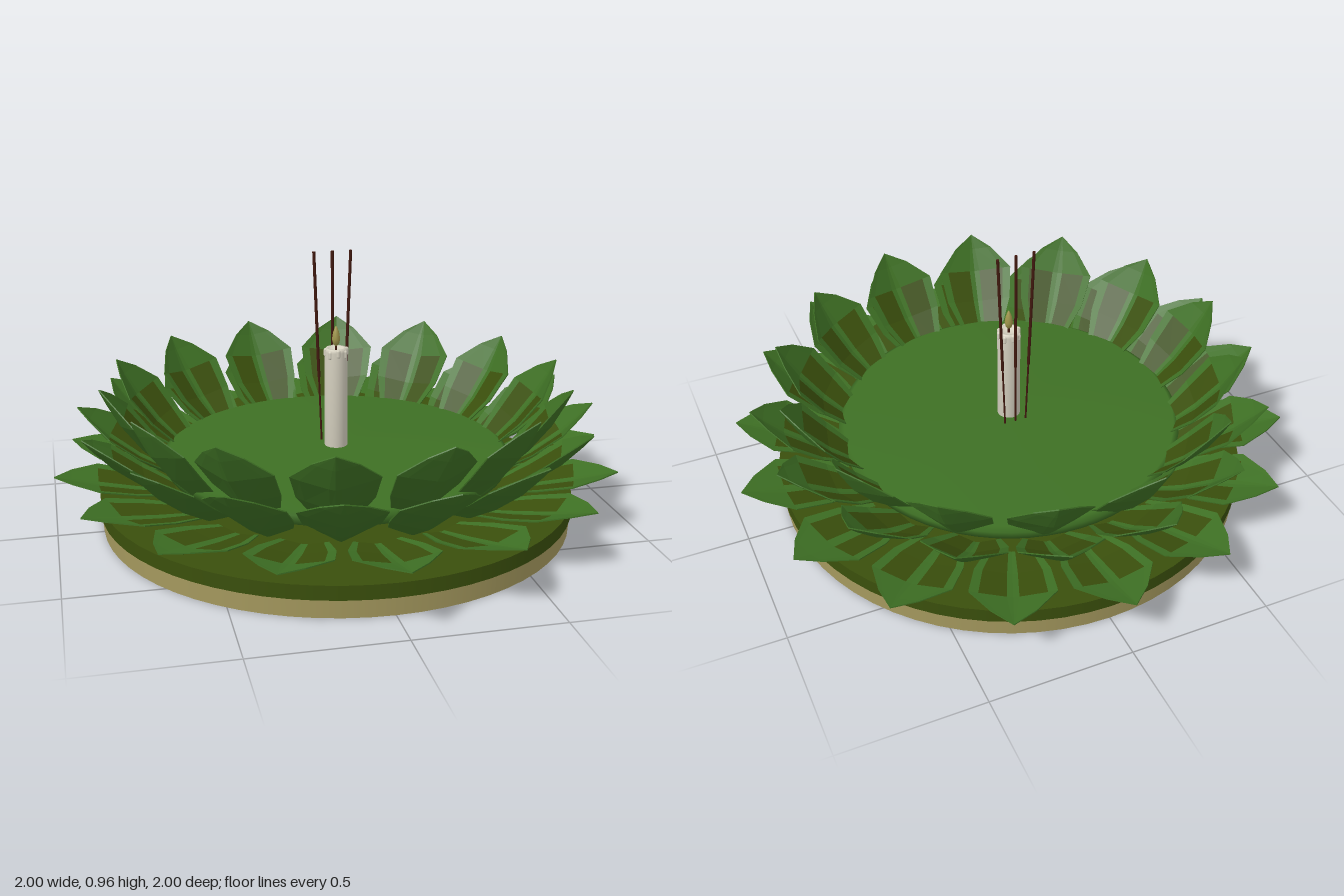
import * as THREE from 'three';

const mat = (name, color, extra = {}) => {
  const m = new THREE.MeshStandardMaterial({ color, ...extra });
  m.name = name;
  return m;
};

export function createModel() {
  const leaf = mat('leaf green', 0x3e7024);
  const petalGreen = mat('petal green', 0x3e7024, { flatShading: true });
  const olive = mat('olive', 0x3a4f0c);
  const petalOlive = mat('petal olive', 0x3a4f0c, { flatShading: true });
  const tan = mat('trunk tan', 0xa89c60);
  const wax = mat('candle wax', 0xd6d1c0);
  const flameMat = mat('flame', 0xa0964c);
  const stickMat = mat('incense brown', 0x41180e);

  const root = new THREE.Group();
  root.name = 'floatingLotus';
  const add = (name, geometry, material, x = 0, y = 0, z = 0, parent = root) => {
    const m = new THREE.Mesh(geometry, material);
    m.name = name;
    m.position.set(x, y, z);
    parent.add(m);
    return m;
  };
  const lathe = (pts, seg = 64) =>
    new THREE.LatheGeometry(pts.map(([r, y]) => new THREE.Vector2(r, y)), seg);

  // Round base, wrapped rim and raised floor
  add('base', new THREE.CylinderGeometry(0.843, 0.838, 0.064, 64), tan, 0, 0.032);
  add('rim', new THREE.CylinderGeometry(0.846, 0.846, 0.05, 64), olive, 0, 0.088);
  add('floor', lathe([[0, 0.15], [0.5, 0.17], [0.61, 0.205], [0.62, 0.24], [0.6, 0.252], [0, 0.262]]), leaf);

  // Folded leaf petal: cupped front with two olive panels, convex back
  const rows = [[0, 0.08], [0.3, 0.125], [0.62, 0.142], [0.85, 0.072], [1, 0]];
  const cols = [-1, -0.78, -0.14, 0, 0.14, 0.78, 1];
  function petalGeometry({ base, tip, sag, cup }) {
    const dr = tip[0] - base[0], dy = tip[1] - base[1], len = Math.hypot(dr, dy);
    const ny = dr / len, nz = -dy / len;
    const point = (i, j, back) => {
      const [t, w] = rows[i], u = cols[j], a = Math.abs(u);
      const off = cup * (w / 0.142) * Math.pow(a, 1.3) - sag * Math.sin(Math.PI * t)
        - (back ? 0.018 * (1 - a) * (1 - t) + 0.004 : 0);
      return [u * w, base[1] + dy * t + ny * off, base[0] + dr * t + nz * off];
    };
    const green = [], panel = [];
    const quad = (list, a, b, c, d) => list.push(...a, ...b, ...c, ...a, ...c, ...d);
    for (let i = 0; i < rows.length - 1; i++) {
      for (let j = 0; j < cols.length - 1; j++) {
        const isPanel = i < 2 && (j === 1 || j === 4);
        quad(isPanel ? panel : green,
          point(i, j), point(i + 1, j), point(i + 1, j + 1), point(i, j + 1));
        quad(green, point(i, j, true), point(i, j + 1, true),
          point(i + 1, j + 1, true), point(i + 1, j, true));
      }
      // side edges
      const e = cols.length - 1;
      quad(green, point(i, 0), point(i, 0, true), point(i + 1, 0, true), point(i + 1, 0));
      quad(green, point(i, e), point(i + 1, e), point(i + 1, e, true), point(i, e, true));
    }
    const g = new THREE.BufferGeometry();
    g.setAttribute('position', new THREE.Float32BufferAttribute([...green, ...panel], 3));
    g.addGroup(0, green.length / 3, 0);
    g.addGroup(green.length / 3, panel.length / 3, 1);
    g.computeVertexNormals();
    return g;
  }

  // Three rings of petals, each steeper than the one below
  const rings = [
    { name: 'lowerPetals', count: 16, offset: 0, base: [0.6, 0.135], tip: [1.0, 0.22], sag: 0.008, cup: 0.025 },
    { name: 'middlePetals', count: 16, offset: 0.5, base: [0.6, 0.17], tip: [0.92, 0.41], sag: 0.025, cup: 0.04 },
    { name: 'upperPetals', count: 14, offset: 0.5, base: [0.59, 0.225], tip: [0.83, 0.525], sag: 0.025, cup: 0.04 },
  ];
  for (const ring of rings) {
    const group = new THREE.Group();
    group.name = ring.name;
    root.add(group);
    const geometry = petalGeometry(ring);
    for (let k = 0; k < ring.count; k++) {
      const p = add('petal', geometry, [petalGreen, petalOlive], 0, 0, 0, group);
      p.rotation.y = ((k + ring.offset) / ring.count) * Math.PI * 2;
    }
  }

  // Candle with wax drips and a flame
  const candle = new THREE.Group();
  candle.name = 'candle';
  root.add(candle);
  add('candleBody', lathe([[0, 0.25], [0.041, 0.25], [0.041, 0.61], [0.037, 0.622], [0.028, 0.622], [0.02, 0.612], [0, 0.612]], 24),
    wax, 0, 0, 0, candle);
  const drip = new THREE.CapsuleGeometry(0.008, 0.016, 4, 8);
  for (let k = 0; k < 8; k++) {
    const a = (k / 8) * Math.PI * 2;
    add('waxDrip', drip, wax, 0.037 * Math.sin(a), 0.608 - 0.006 * (k % 2), 0.037 * Math.cos(a), candle);
  }
  add('wick', new THREE.CylinderGeometry(0.004, 0.004, 0.03, 8), stickMat, 0, 0.622, 0, candle);
  add('flame', lathe([[0, 0.625], [0.011, 0.637], [0.015, 0.655], [0.011, 0.678], [0.005, 0.695], [0, 0.703]], 12),
    flameMat, 0, 0, 0, candle);

  // Three incense sticks behind the candle, fanned out
  const up = new THREE.Vector3(0, 1, 0);
  for (const s of [-1, 0, 1]) {
    const at = (y) => new THREE.Vector3(s * (0.04 + 0.026 * (y - 0.25) / 0.705), y, -0.06);
    const rod = (name, y0, y1, r) => {
      const a = at(y0), b = at(y1), d = b.clone().sub(a);
      const mid = a.clone().add(b).multiplyScalar(0.5);
      const m = add(name, new THREE.CylinderGeometry(r, r, d.length(), 8), stickMat, mid.x, mid.y, mid.z);
      m.quaternion.setFromUnitVectors(up, d.normalize());
    };
    rod('incenseStick', 0.25, 0.52, 0.0035);
    rod('incenseCoating', 0.5, 0.957, 0.0055);
  }
  return root;
}
